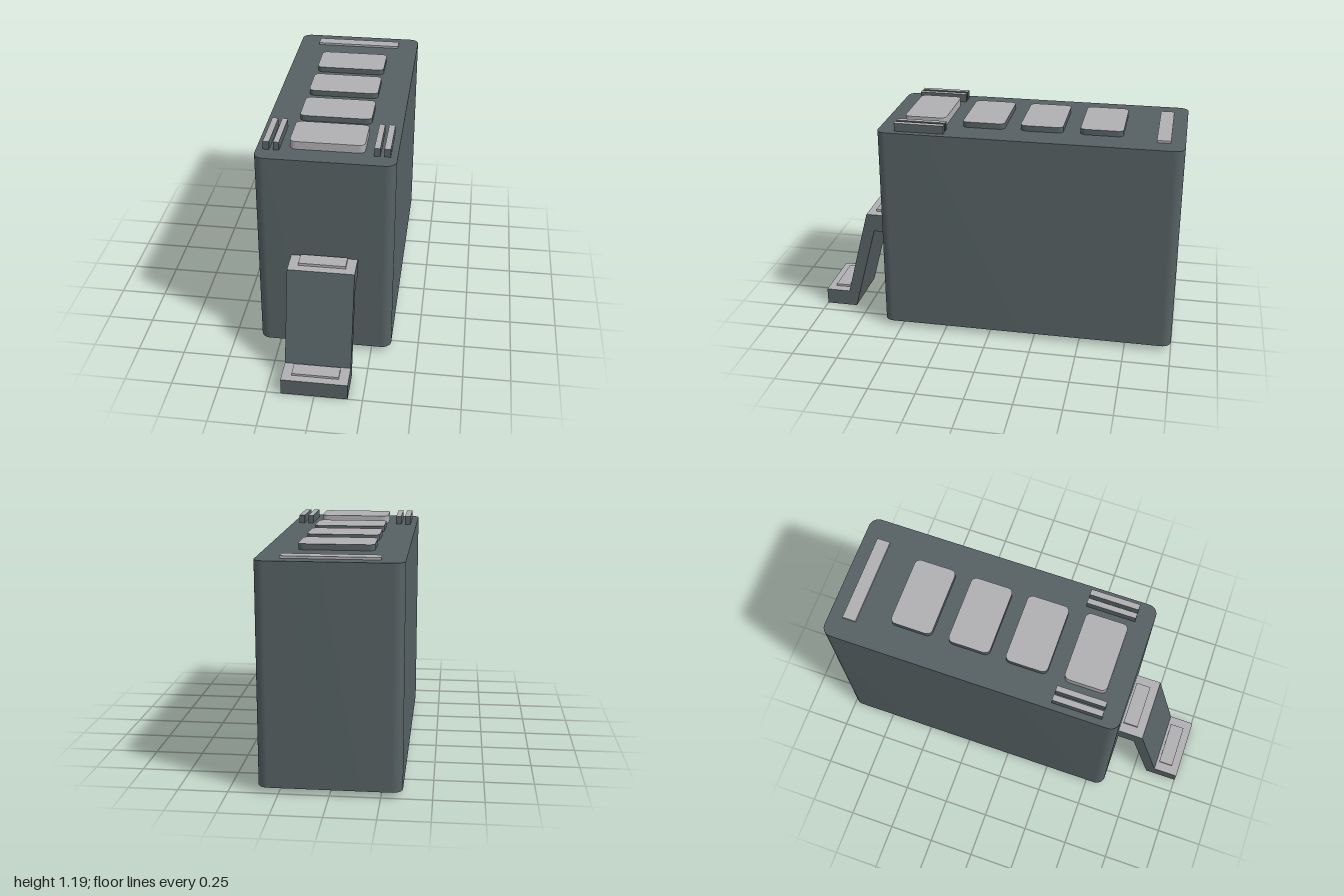
import * as THREE from 'three';
import { toCreasedNormals } from 'three/addons/utils/BufferGeometryUtils.js';

const slate = new THREE.MeshStandardMaterial({ color: 0x566163 });
slate.name = 'slate grey';
const pale = new THREE.MeshStandardMaterial({ color: 0xb0b0b3 });
pale.name = 'pale grey';

// Upright block with rounded vertical corners; ends and sides coloured separately
function block(name, [x0, x1], [y0, y1], [z0, z1], radius, endMat, sideMat) {
  const w = (x1 - x0) / 2, d = (z1 - z0) / 2, r = radius;
  const s = new THREE.Shape();
  if (r > 0) {
    s.absarc(w - r, d - r, r, 0, Math.PI / 2);
    s.absarc(r - w, d - r, r, Math.PI / 2, Math.PI);
    s.absarc(r - w, r - d, r, Math.PI, Math.PI * 1.5);
    s.absarc(w - r, r - d, r, Math.PI * 1.5, Math.PI * 2);
  } else {
    s.moveTo(-w, -d).lineTo(w, -d).lineTo(w, d).lineTo(-w, d);
  }
  s.closePath();
  let geo = new THREE.ExtrudeGeometry(s, { depth: y1 - y0, bevelEnabled: false, curveSegments: 8 });
  geo = toCreasedNormals(geo, 0.6);
  geo.rotateX(-Math.PI / 2);
  const mesh = new THREE.Mesh(geo, [endMat, sideMat]);
  mesh.position.set((x0 + x1) / 2, y0, (z0 + z1) / 2);
  mesh.name = name;
  return mesh;
}

// Stepped bracket: level faces pale, all other faces slate
function bracket(halfWidth) {
  const s = new THREE.Shape([
    [0.6, 0.49], [0.695, 0.49], [0.825, 0], [1, 0],
    [1, 0.09], [0.865, 0.09], [0.735, 0.59], [0.6, 0.59],
  ].map(([z, y]) => new THREE.Vector2(z, y)));
  const geo = new THREE.ExtrudeGeometry(s, { depth: halfWidth * 2, bevelEnabled: false });
  geo.rotateY(-Math.PI / 2);
  geo.translate(halfWidth, 0, 0);
  geo.clearGroups();
  const n = geo.attributes.normal;
  for (let i = 0; i < n.count; i += 3) {
    geo.addGroup(i, 3, Math.abs(n.getY(i)) > 0.9 ? 0 : 1);
  }
  const mesh = new THREE.Mesh(geo, [pale, slate]);
  mesh.name = 'steppedBracket';
  return mesh;
}

export function createModel() {
  const model = new THREE.Group();
  model.name = 'housing';
  const top = 1.15;

  // Main case
  model.add(block('case', [-0.355, 0.355], [0.03, top], [-1, 0.6], 0.052, slate, slate));

  // Row of pads on the lid; the front one is taller and pale all over
  [-0.68, -0.365, -0.055].forEach((z, i) => {
    model.add(block('lidPad' + (i + 1), [-0.19, 0.19], [top, 1.18], [z, z + 0.225], 0.03, pale, slate));
  });
  model.add(block('frontPad', [-0.19, 0.19], [top, 1.193], [0.26, 0.485], 0.03, pale, pale));

  // Thin strip at the rear of the lid
  model.add(block('rearStrip', [-0.24, 0.24], [top, 1.162], [-0.925, -0.853], 0, pale, pale));

  // Paired ribs beside the front pad
  for (const [a, b] of [[0.238, 0.268], [0.288, 0.32]]) {
    model.add(block('leftRib', [a, b], [top, 1.194], [0.243, 0.507], 0, pale, slate));
    model.add(block('rightRib', [-b, -a], [top, 1.194], [0.243, 0.507], 0, pale, slate));
  }

  // Front bracket with a raised plate on each level
  model.add(bracket(0.173));
  model.add(block('upperPlate', [-0.122, 0.122], [0.59, 0.604], [0.61, 0.69], 0, pale, pale));
  model.add(block('lowerPlate', [-0.122, 0.122], [0.09, 0.102], [0.88, 0.958], 0, pale, pale));

  return model;
}
